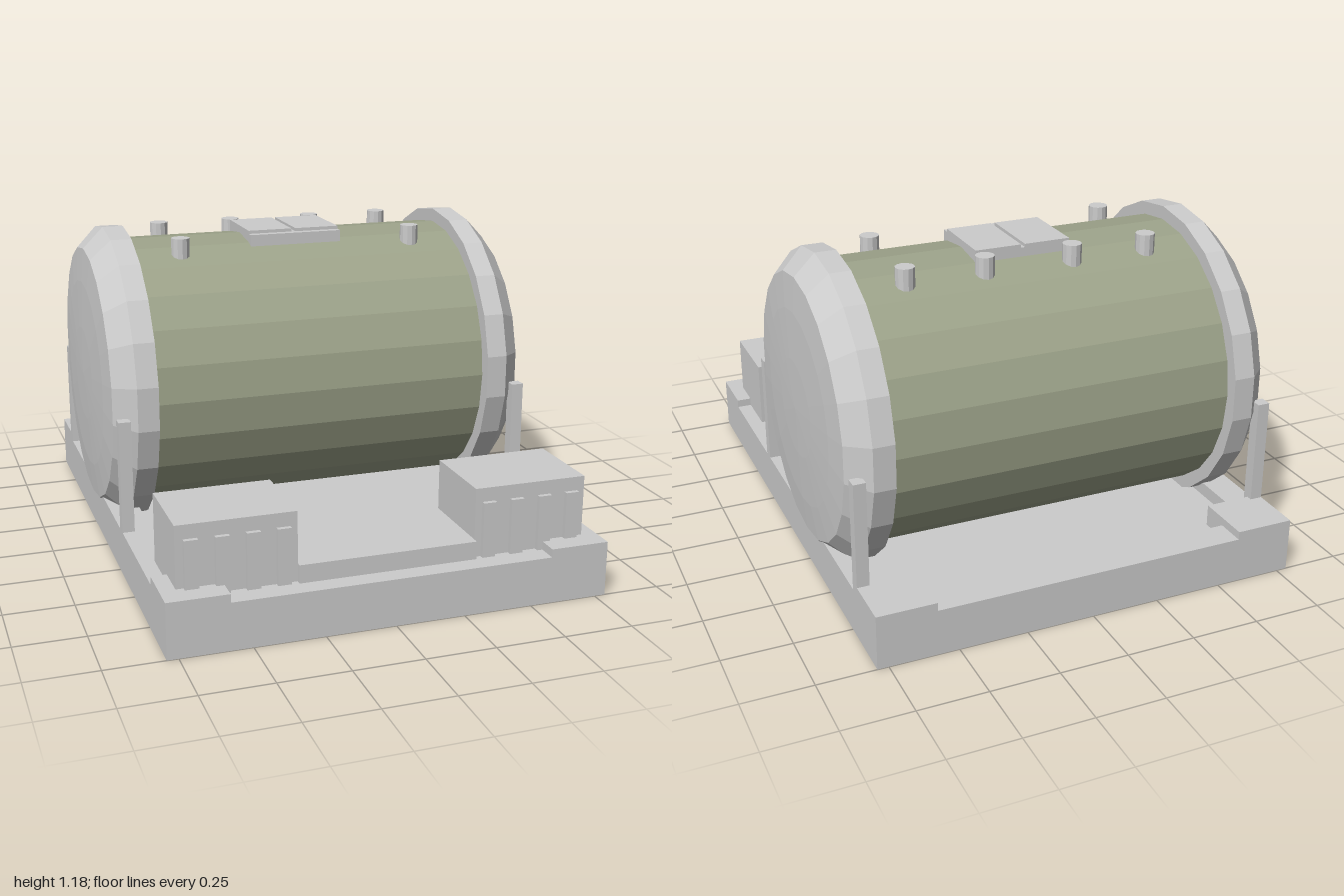
import * as THREE from 'three';

export function createModel() {
  const model = new THREE.Group();
  const grey = new THREE.MeshStandardMaterial({ color: 0xcccccc, flatShading: true });
  const olive = new THREE.MeshStandardMaterial({ color: 0x9da38a, flatShading: true });

  const add = (name, geometry, material = grey) => {
    const mesh = new THREE.Mesh(geometry, material);
    mesh.name = name;
    model.add(mesh);
    return mesh;
  };
  // box given by its extents on each axis
  const box = (name, x0, x1, y0, y1, z0, z1) => {
    const mesh = add(name, new THREE.BoxGeometry(x1 - x0, y1 - y0, z1 - z0));
    mesh.position.set((x0 + x1) / 2, (y0 + y1) / 2, (z0 + z1) / 2);
    return mesh;
  };
  // the same box on both sides of the model
  const boxPair = (name, x0, x1, ...rest) => {
    box(name + 'Left', x0, x1, ...rest);
    box(name + 'Right', -x1, -x0, ...rest);
  };

  const axisY = 0.62, axisZ = -0.25, floorY = 0.12, rimY = 0.17;

  // skid base: a floor with a rim around it
  box('baseFloor', -0.79, 0.79, 0, floorY, -1, 1);
  const rect = (path, w, d) => path.moveTo(-w, -d).lineTo(w, -d).lineTo(w, d).lineTo(-w, d).closePath();
  const rim = rect(new THREE.Shape(), 0.79, 1);
  rim.holes.push(rect(new THREE.Path(), 0.68, 0.89));
  const rimGeometry = new THREE.ExtrudeGeometry(rim, { depth: rimY - floorY, bevelEnabled: false });
  add('baseRim', rimGeometry.rotateX(-Math.PI / 2).translate(0, floorY, 0));

  // raised corners and upright posts
  boxPair('frontCorner', 0.575, 0.79, floorY, 0.2, 0.785, 1);
  boxPair('rearCorner', 0.575, 0.79, floorY, 0.2, -1, -0.79);
  boxPair('frontPost', 0.745, 0.79, floorY, 0.585, 0.272, 0.315);
  boxPair('rearPost', 0.745, 0.79, floorY, 0.585, -0.812, -0.768);

  // equipment cabinets with ribbed fronts, joined by a low slab
  boxPair('cabinet', 0.32, 0.735, floorY, 0.42, 0.6, 0.91);
  box('slab', -0.32, 0.32, floorY, 0.235, 0.6, 0.93);
  for (let i = 0; i < 4; i++) {
    const x = 0.345 + i * 0.105;
    boxPair('cabinetRib' + i, x, x + 0.048, rimY, 0.37, 0.9, 0.927);
  }

  // tank barrel lying along x
  const barrel = add('tankBarrel', new THREE.CylinderGeometry(0.515, 0.515, 1.4, 24, 1, true), olive);
  barrel.rotation.z = Math.PI / 2;
  barrel.position.set(0, axisY, axisZ);

  // end caps: wide ring, chamfer and a shallow dome
  const capProfile = [
    [0.5, 0.64], [0.565, 0.64], [0.565, 0.718], [0.487, 0.795],
    [0.36, 0.806], [0.18, 0.813], [0, 0.816],
  ].map(([r, x]) => new THREE.Vector2(r, x));
  for (const side of [1, -1]) {
    // turn the profile axis onto x, keeping a vertex at the top
    const geometry = new THREE.LatheGeometry(capProfile, 22, Math.PI / 2).rotateZ(-Math.PI / 2);
    const cap = add(side > 0 ? 'endCapLeft' : 'endCapRight', geometry);
    if (side < 0) cap.rotation.y = Math.PI;
    cap.position.set(0, axisY, axisZ);
  }

  // hatch with two lids
  box('hatchFrame', -0.18, 0.18, 1.08, 1.15, -0.385, -0.09);
  boxPair('hatchLid', 0.008, 0.18, 1.15, 1.162, -0.385, -0.12);

  // round studs on top of the barrel
  const studs = [[0.46, -0.435], [0.46, -0.07], [0.167, -0.435]];
  for (const [x, z] of studs) {
    for (const side of [1, -1]) {
      const stud = add('stud', new THREE.CylinderGeometry(0.035, 0.035, 0.08, 12));
      stud.position.set(side * x, 1.12, z);
    }
  }
  return model;
}
